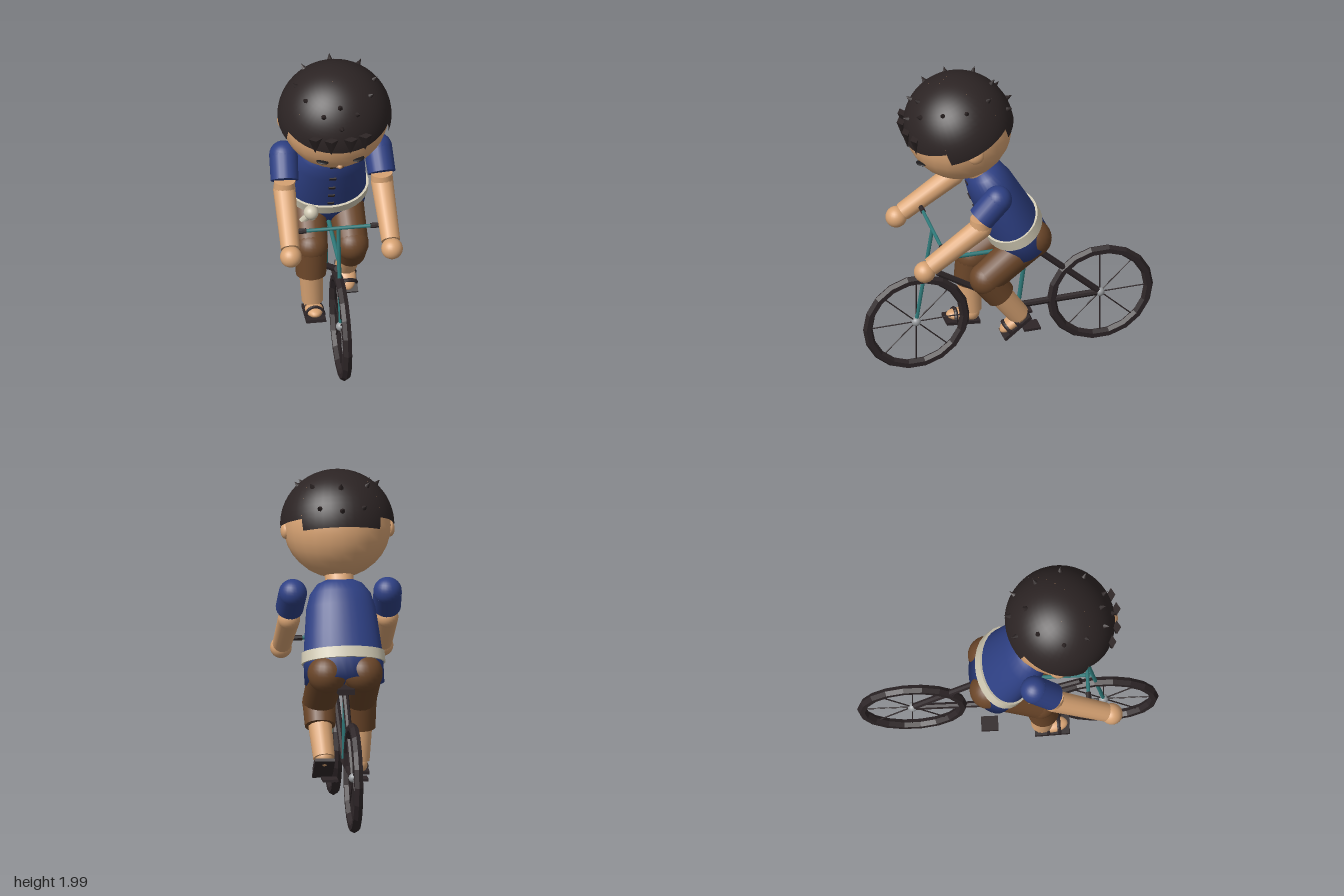
import * as THREE from 'three';

const mat = (name, color, extra = {}) => {
  const m = new THREE.MeshStandardMaterial({ color, ...extra });
  m.name = name;
  return m;
};

export function createModel() {
  const skin = mat('skin', 0xd9a474), hairM = mat('hair', 0x2c2424, { side: THREE.DoubleSide });
  const blue = mat('shirt blue', 0x2e4084), brown = mat('trouser brown', 0x6b4629);
  const dark = mat('dark rubber', 0x2e2628, { flatShading: true }), teal = mat('frame teal', 0x2f7a7a);
  const cream = mat('sash cream', 0xcfc8b2), grey = mat('hub grey', 0x9a9da0), black = mat('eye black', 0x1c1a1c);

  const V = (x, y, z) => new THREE.Vector3(x, y, z);
  const root = new THREE.Group();
  root.name = 'cyclist';
  const group = (name, parent = root) => {
    const g = new THREE.Group();
    g.name = name;
    parent.add(g);
    return g;
  };
  const add = (parent, name, geo, m, p = V(0, 0, 0)) => {
    const o = new THREE.Mesh(geo, m);
    o.name = name;
    o.position.copy(p);
    parent.add(o);
    return o;
  };
  const ball = (parent, name, p, r, m, s = [1, 1, 1]) => {
    const o = add(parent, name, new THREE.SphereGeometry(r, 24, 16), m, p);
    o.scale.set(...s);
    return o;
  };
  // tapered bar running from a to b
  const bar = (parent, name, a, b, ra, rb, m, seg = 16) => {
    const d = b.clone().sub(a);
    const o = add(parent, name, new THREE.CylinderGeometry(rb, ra, d.length(), seg), m, a.clone().add(b).multiplyScalar(0.5));
    o.quaternion.setFromUnitVectors(V(0, 1, 0), d.normalize());
    return o;
  };

  // ---- bicycle ----
  const bike = group('bicycle');
  for (const [name, z] of [['frontWheel', 0.563], ['rearWheel', -0.56]]) {
    const w = group(name, bike);
    w.position.set(0, 0.33, z);
    add(w, 'tyre', new THREE.TorusGeometry(0.296, 0.029, 6, 18), dark).rotation.y = Math.PI / 2;
    ball(w, 'hub', V(0, 0, 0), 0.028, grey);
    for (let i = 0; i < 4; i++) {
      const a = i * Math.PI / 4, c = V(0, Math.cos(a) * 0.28, Math.sin(a) * 0.28);
      bar(w, 'spoke', c, c.clone().negate(), 0.004, 0.004, dark, 6);
    }
  }
  const crank = V(0, 0.33, -0.06), seatTop = V(0, 0.76, -0.115);
  bar(bike, 'fork', V(0, 0.33, 0.563), V(0, 0.965, 0.465), 0.012, 0.012, teal, 8);
  bar(bike, 'topTube', V(0, 0.75, 0.495), V(0, 0.735, -0.11), 0.013, 0.013, teal, 8);
  bar(bike, 'seatTube', crank, seatTop, 0.014, 0.014, teal, 8);
  bar(bike, 'downTube', V(0, 0.65, 0.43), crank, 0.02, 0.02, dark, 8);
  bar(bike, 'chainStay', crank, V(0, 0.33, -0.56), 0.02, 0.02, dark, 8);
  bar(bike, 'seatStay', seatTop, V(0, 0.33, -0.56), 0.02, 0.02, dark, 8);
  add(bike, 'saddle', new THREE.BoxGeometry(0.1, 0.035, 0.2), dark, V(0, 0.77, -0.1));
  bar(bike, 'handlebar', V(-0.22, 0.967, 0.465), V(0.22, 0.967, 0.465), 0.011, 0.011, teal, 8);
  for (const s of [-1, 1]) {
    bar(bike, 'grip', V(s * 0.19, 0.967, 0.465), V(s * 0.25, 0.967, 0.465), 0.016, 0.016, dark, 8);
    add(bike, 'pedal', new THREE.BoxGeometry(0.09, 0.015, 0.1), dark, V(s * 0.09, 0.232, -0.11));
  }

  // ---- torso, leaning forward ----
  const torso = group('torso');
  torso.position.set(0, 0.94, -0.02);
  torso.rotation.x = THREE.MathUtils.degToRad(25);
  const profile = [[0, -0.15], [0.236, -0.15], [0.236, 0], [0.222, 0.14], [0.205, 0.3], [0.18, 0.385], [0.135, 0.445], [0.07, 0.475], [0, 0.48]];
  const shirt = add(torso, 'shirt', new THREE.LatheGeometry(profile.map(p => new THREE.Vector2(...p)), 32), blue);
  shirt.scale.z = 0.69;
  const belt = add(torso, 'belt', new THREE.CylinderGeometry(0.246, 0.248, 0.065, 28), cream);
  belt.scale.z = 0.71;
  for (const [u, r] of [[0.06, 0.158], [0.14, 0.153], [0.22, 0.148], [0.31, 0.139], [0.40, 0.113]])
    add(torso, 'button', new THREE.BoxGeometry(0.04, 0.018, 0.012), dark, V(0, u, r));
  bar(torso, 'neck', V(0, 0.42, 0), V(0, 0.56, 0.03), 0.085, 0.085, skin);

  // sash knot with two hanging tails
  const knot = group('sashKnot');
  ball(knot, 'knot', V(-0.117, 0.875, 0.155), 0.044, cream);
  for (const x of [-0.16, -0.1]) bar(knot, 'tail', V(-0.117, 0.86, 0.15), V(x, 0.79, 0.11), 0.014, 0.026, cream, 8);

  // ---- head, tipped forward ----
  const head = group('head');
  head.position.set(0, 1.675, 0.305);
  const tilt = THREE.MathUtils.degToRad(22.5);
  ball(head, 'face', V(0, 0, 0), 0.315, skin, [1.01, 1, 1]);
  const hair = group('hair', head);
  hair.rotation.x = tilt;
  const rad = THREE.MathUtils.degToRad;
  // fringe, nape and the two sides end at different heights
  for (const [name, from, to, end] of [['fringe', 26, 154, 77.6], ['side', 154, 226, 91.6], ['nape', 226, 314, 104], ['side', 314, 386, 91.6]]) {
    const n = Math.round((to - from) / 8);
    add(hair, name, new THREE.SphereGeometry(0.326, n, 16, rad(from), rad(to - from), 0, rad(end)), hairM).scale.x = 1.03;
  }
  const spike = (d, r, h, seg) => {
    const o = add(head, 'hairSpike', new THREE.ConeGeometry(r, h, seg), hairM, d.clone().multiplyScalar(0.322 + h * 0.4));
    o.quaternion.setFromUnitVectors(V(0, 1, 0), d);
  };
  const spots = [[0, -0.295], [0, -0.2], [0, 0.245], [0, 0.308]];
  for (const s of [-1, 1]) spots.push([s * 0.16, -0.135], [s * 0.228, 0.015], [s * 0.19, 0.15], [s * 0.1, 0.26], [s * 0.13, -0.26]);
  for (const [x, z] of spots) spike(V(x, Math.sqrt(Math.max(0.01, 0.1063 - x * x - z * z)), z).normalize(), 0.02, 0.045, 6);
  // pointed locks hanging over the forehead
  for (const x of [-0.155, -0.065, 0.05, 0.14]) {
    const o = add(head, 'lock', new THREE.ConeGeometry(0.042, 0.11, 4), hairM, V(x, -0.005, Math.sqrt(0.112 - x * x)));
    o.rotation.set(Math.PI + 0.1, 0, 0);
    o.scale.z = 0.6;
  }
  for (const s of [-1, 1]) {
    ball(head, 'ear', V(s * 0.308, -0.028, -0.02), 0.048, skin, [0.6, 1, 1]);
    const d = V(s * 0.107, -0.15, 0.258);
    const eye = ball(head, 'eye', d, 0.037, black, [0.68, 1, 0.2]);
    eye.lookAt(d.clone().multiplyScalar(2));
  }
  ball(head, 'nose', V(0, -0.212, 0.232), 0.016, skin);
  const mouth = ball(head, 'mouth', V(0, -0.222, 0.226), 0.024, brown, [1, 0.3, 0.4]);
  mouth.rotation.x = 0.75;

  // ---- arms ----
  for (const s of [-1, 1]) {
    const arm = group(s > 0 ? 'leftArm' : 'rightArm');
    const shoulder = V(s * 0.28, 1.3, 0.145), cuff = V(s * 0.288, 1.19, 0.25);
    const elbow = V(s * 0.29, 1.125, 0.255), wrist = V(s * 0.298, 0.915, 0.56);
    ball(arm, 'shoulder', shoulder, 0.084, blue);
    bar(arm, 'sleeve', shoulder, cuff, 0.084, 0.082, blue, 20);
    bar(arm, 'upperArm', cuff, elbow, 0.064, 0.064, skin);
    ball(arm, 'elbow', elbow, 0.066, skin);
    bar(arm, 'forearm', elbow, wrist, 0.066, 0.056, skin);
    ball(arm, 'hand', V(s * 0.3, 0.885, 0.598), 0.064, skin);
  }

  // ---- legs: left pedals back, right reaches down ----
  const legs = [
    { name: 'leftLeg', s: 1, knee: [0.64, 0.17], hem: [0.515, 0.085], ankle: [0.345, -0.03], sole: [0.28, -0.01], pitch: 39 },
    { name: 'rightLeg', s: -1, knee: [0.655, 0.185], hem: [0.475, 0.205], ankle: [0.28, 0.195], sole: [0.222, 0.255], pitch: -6 },
  ];
  for (const L of legs) {
    const leg = group(L.name), P = (x, [y, z]) => V(L.s * x, y, z);
    const hip = P(0.108, [0.865, -0.115]), knee = P(0.122, L.knee), hem = P(0.125, L.hem), ankle = P(0.115, L.ankle);
    ball(leg, 'hip', hip, 0.115, brown);
    bar(leg, 'thigh', hip, knee, 0.112, 0.098, brown, 20);
    ball(leg, 'knee', knee, 0.1, brown);
    bar(leg, 'trouserLeg', knee, hem, 0.098, 0.09, brown, 20);
    bar(leg, 'shin', hem, ankle, 0.07, 0.064, skin);
    // sandal
    const foot = group('foot', leg);
    foot.position.copy(P(0.115, L.sole));
    foot.rotation.x = rad(L.pitch);
    add(foot, 'sole', new THREE.BoxGeometry(0.118, 0.02, 0.205), dark);
    ball(foot, 'footTop', V(0, 0.03, 0), 0.095, skin, [0.56, 0.36, 1]);
    ball(foot, 'heel', V(0, 0.04, -0.055), 0.052, skin);
    for (const z of [-0.02, 0.045]) {
      const strap = add(foot, 'strap', new THREE.TorusGeometry(0.054, 0.009, 6, 12, Math.PI), dark, V(0, 0.008, z));
      strap.scale.set(1, 1.05, 1.3);
    }
  }
  return root;
}
